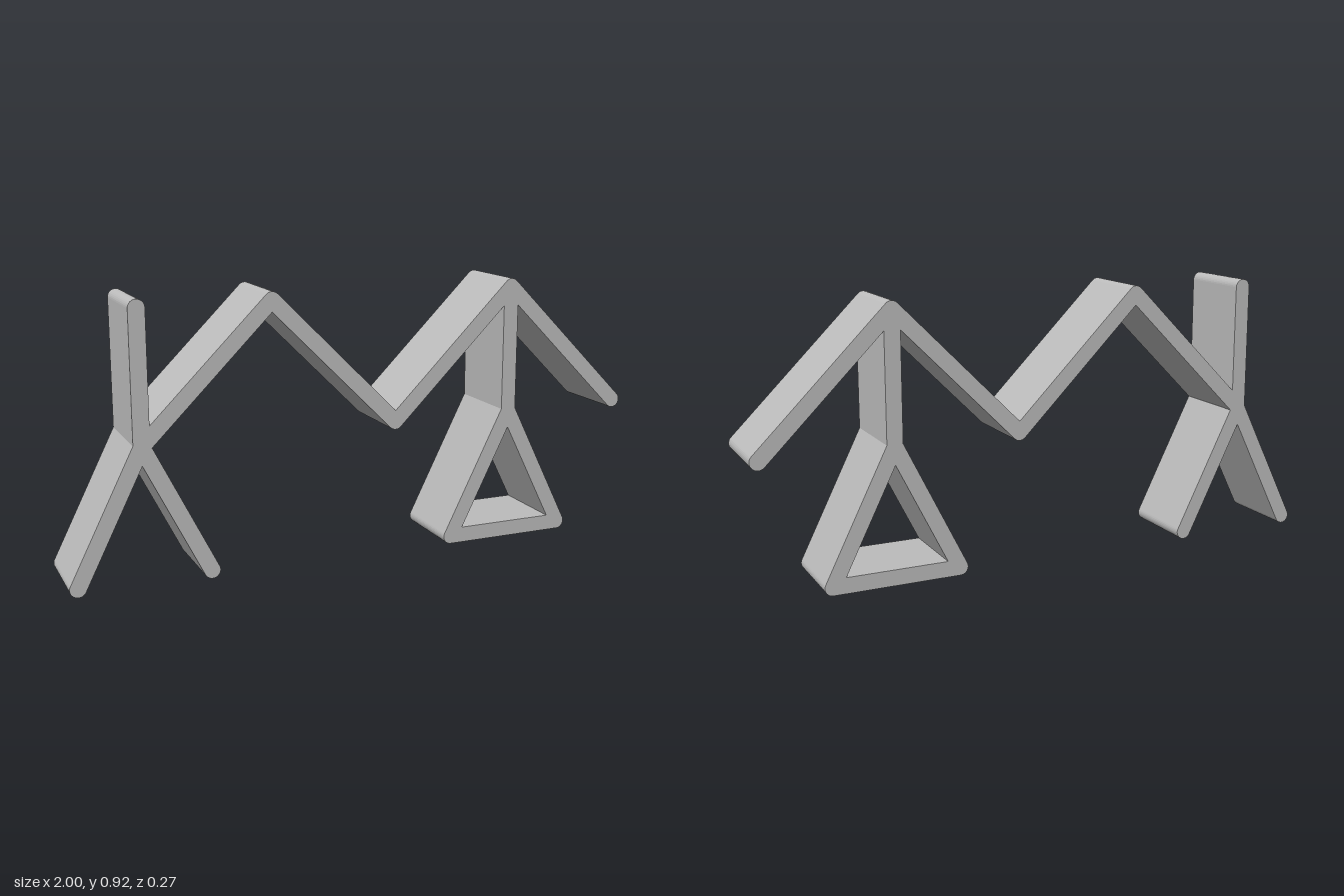
import * as THREE from 'three';

const RADIUS = 0.027, DEPTH = 0.27;
const STEP = 0.4325;              // horizontal and vertical spacing of the joints
const LOW = RADIUS, MID = LOW + STEP, HIGH = MID + STEP;

export function createModel() {
  const model = new THREE.Group();
  const grey = new THREE.MeshStandardMaterial({ color: 0xbcbcbc });
  grey.name = 'grey';

  // Flat slab between two joints with half-round ends
  function slab(name, parent, [x1, y1], [x2, y2]) {
    const length = Math.hypot(x2 - x1, y2 - y1);
    const shape = new THREE.Shape();
    shape.moveTo(0, -RADIUS);
    shape.lineTo(length, -RADIUS);
    shape.absarc(length, 0, RADIUS, -Math.PI / 2, Math.PI / 2, false);
    shape.lineTo(0, RADIUS);
    shape.absarc(0, 0, RADIUS, Math.PI / 2, Math.PI * 1.5, false);
    const geometry = new THREE.ExtrudeGeometry(shape, { depth: DEPTH, bevelEnabled: false, curveSegments: 8 });
    geometry.translate(0, 0, -DEPTH / 2);
    const mesh = new THREE.Mesh(geometry, grey);
    mesh.name = name;
    mesh.position.set(x1, y1, 0);
    mesh.rotation.z = Math.atan2(y2 - y1, x2 - x1);
    parent.add(mesh);
  }

  // Joints from the first figure's hip along the zigzag to its free end
  const joints = [MID, HIGH, MID, HIGH, MID].map((y, i) => [-0.757 + i * STEP, y]);

  const zigzag = new THREE.Group();
  zigzag.name = 'zigzag';
  for (let i = 0; i < 4; i++) slab('zigzagArm' + (i + 1), zigzag, joints[i], joints[i + 1]);
  model.add(zigzag);

  // Two uprights, each standing on a pair of splayed legs
  function figure(name, x, closed) {
    const group = new THREE.Group();
    group.name = name;
    const hip = [x, MID];
    const feet = [-1, 1].map((s) => [x + s * STEP / 2, LOW]);
    slab('upright', group, hip, [x, HIGH]);
    slab('rightLeg', group, hip, feet[0]);
    slab('leftLeg', group, hip, feet[1]);
    if (closed) slab('base', group, feet[0], feet[1]);
    model.add(group);
  }
  figure('openFigure', joints[0][0], false);
  figure('triangleFigure', joints[3][0], true);

  return model;
}
